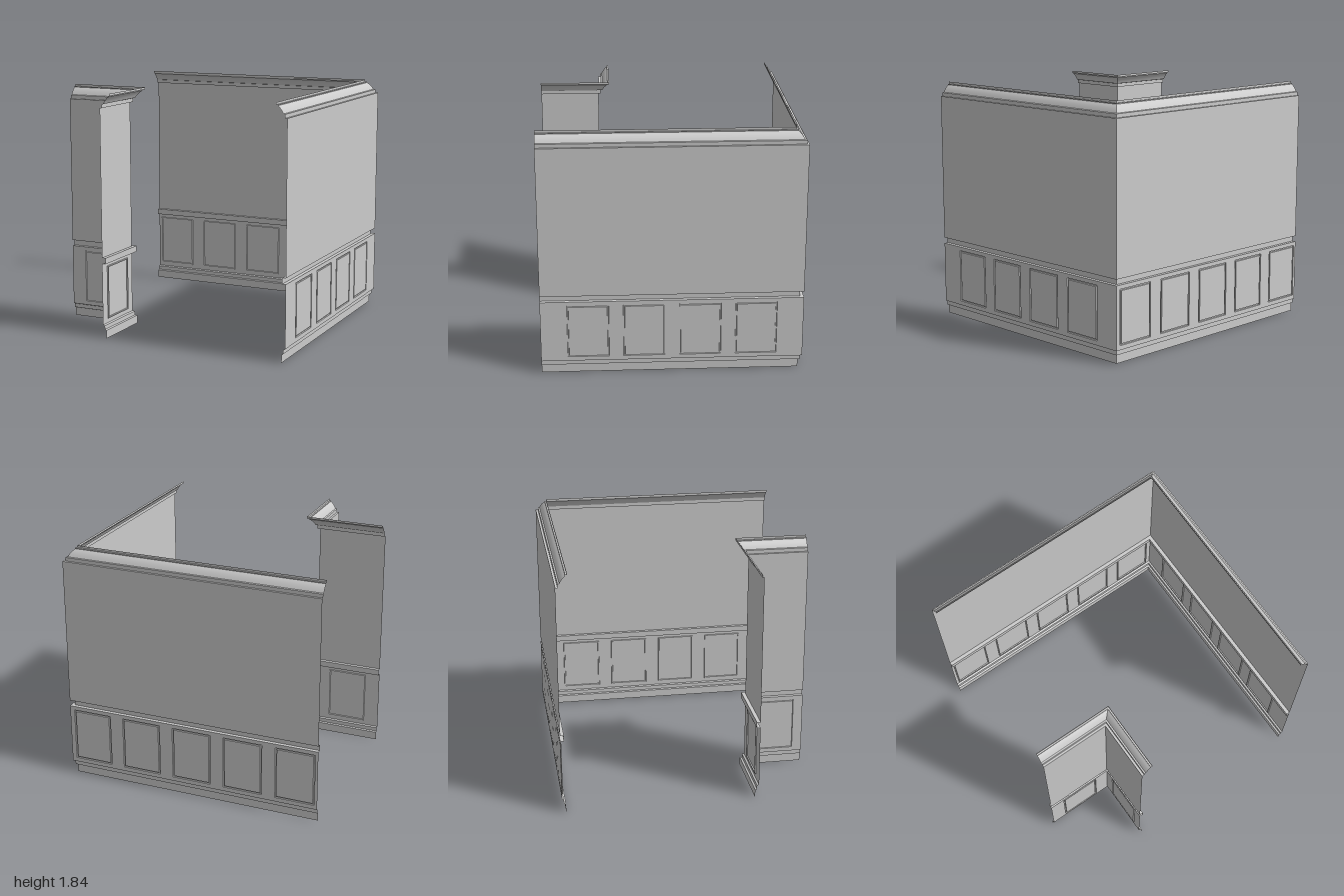
import * as THREE from 'three';
import { toCreasedNormals } from 'three/addons/utils/BufferGeometryUtils.js';

const material = new THREE.MeshStandardMaterial({ color: 0xcccccc, side: THREE.DoubleSide });

// Profiles as [depth into the room, height]
const BASEBOARD = [[0.028, 0], [0.028, 0.062], [0.014, 0.067], [0.014, 0.097], [0, 0.103]];
const CHAIR_RAIL = [[0, 0.57], [0.028, 0.57], [0.028, 0.615], [0, 0.615]];
const UPPER_WALL = [[0, 0.615], [0, 1.73]];
const CROWN = [
  [0, 1.73], [0.017, 1.73], [0.017, 1.757], [0.029, 1.76], [0.037, 1.775],
  [0.047, 1.79], [0.058, 1.803], [0.071, 1.814], [0.071, 1.821], [0.083, 1.821], [0.083, 1.837],
];
// Panel moulding as [inset, depth]
const PANEL_FRAME = [[0, 0], [0.002, 0.009], [0.01, 0.009], [0.012, 0]];
const PANEL_W = 0.305, PANEL_Y0 = 0.135, PANEL_Y1 = 0.54;

// Skin over successive rows of points
function loft(rows) {
  const pos = [];
  for (let i = 0; i + 1 < rows.length; i++) {
    for (let j = 0; j + 1 < rows[i].length; j++) {
      const a = rows[i][j], b = rows[i + 1][j], c = rows[i + 1][j + 1], d = rows[i][j + 1];
      for (const p of [a, b, c, a, c, d]) pos.push(...p);
    }
  }
  const geo = new THREE.BufferGeometry();
  geo.setAttribute('position', new THREE.Float32BufferAttribute(pos, 3));
  geo.computeVertexNormals();
  return toCreasedNormals(geo, 0.4);
}

function addMesh(parent, name, geo) {
  const mesh = new THREE.Mesh(geo, material);
  mesh.name = name;
  parent.add(mesh);
  return mesh;
}

// Room-side normal of a floor-plan segment
function normalOf(a, b) {
  const len = Math.hypot(b[0] - a[0], b[1] - a[1]);
  return [-(b[1] - a[1]) / len, (b[0] - a[0]) / len];
}

// Profile swept along a right-angled plan path with a mitred corner
function sweep(path, profile) {
  const [a, b, c] = path;
  const n1 = normalOf(a, b), n2 = normalOf(b, c);
  const offsets = [n1, [n1[0] + n2[0], n1[1] + n2[1]], n2];
  return loft(path.map(([x, z], i) =>
    profile.map(([d, y]) => [x + offsets[i][0] * d, y, z + offsets[i][1] * d])));
}

function rectangle(Type, x0, y0, x1, y1) {
  return new Type([[x0, y0], [x1, y0], [x1, y1], [x0, y1]].map(p => new THREE.Vector2(...p)));
}

// Wainscot of one straight wall, with moulded panels at the given centres
function wainscot(a, b, centres) {
  const group = new THREE.Group();
  group.name = 'wainscot';
  const length = Math.hypot(b[0] - a[0], b[1] - a[1]);
  const surround = rectangle(THREE.Shape, 0, 0.103, length, 0.57);
  for (const s of centres) {
    const x0 = s - PANEL_W / 2, x1 = s + PANEL_W / 2;
    surround.holes.push(rectangle(THREE.Path, x0, PANEL_Y0, x1, PANEL_Y1));

    // Moulding: four mitred sides around the panel
    const corners = [[x0, PANEL_Y0, 1, 1], [x1, PANEL_Y0, -1, 1], [x1, PANEL_Y1, -1, -1], [x0, PANEL_Y1, 1, -1]];
    corners.push(corners[0]);
    addMesh(group, 'panelMoulding', loft(corners.map(([x, y, sx, sy]) =>
      PANEL_FRAME.map(([inset, d]) => [x + sx * inset, y + sy * inset, d]))));

    const i = 0.012;
    addMesh(group, 'panelField', new THREE.ShapeGeometry(
      rectangle(THREE.Shape, x0 + i, PANEL_Y0 + i, x1 - i, PANEL_Y1 - i)));
  }
  addMesh(group, 'panelSurround', new THREE.ShapeGeometry(surround));
  group.position.set(a[0], 0, a[1]);
  group.rotation.y = Math.atan2(-(b[1] - a[1]), b[0] - a[0]);
  return group;
}

// Two walls meeting at a corner, with all their trim
function cornerWalls(name, path, panels) {
  const group = new THREE.Group();
  group.name = name;
  addMesh(group, 'baseboard', sweep(path, BASEBOARD));
  addMesh(group, 'chairRail', sweep(path, CHAIR_RAIL));
  addMesh(group, 'upperWall', sweep(path, UPPER_WALL));
  addMesh(group, 'crownMoulding', sweep(path, CROWN));
  panels.forEach((centres, i) => group.add(wainscot(path[i], path[i + 1], centres)));
  return group;
}

const spaced = (start, count) => Array.from({ length: count }, (_, i) => start + i * 0.409);

export function createModel() {
  const model = new THREE.Group();
  model.name = 'panelledRoom';
  model.add(cornerWalls('insideCorner',
    [[-1, -0.96], [1, -0.96], [1, 0.96]], [spaced(0.175, 5), spaced(0.3465, 4)]));
  model.add(cornerWalls('outsideCorner',
    [[-0.47, 0.96], [-0.47, 0.507], [-1, 0.507]], [[0.226], [0.26]]));
  return model;
}
